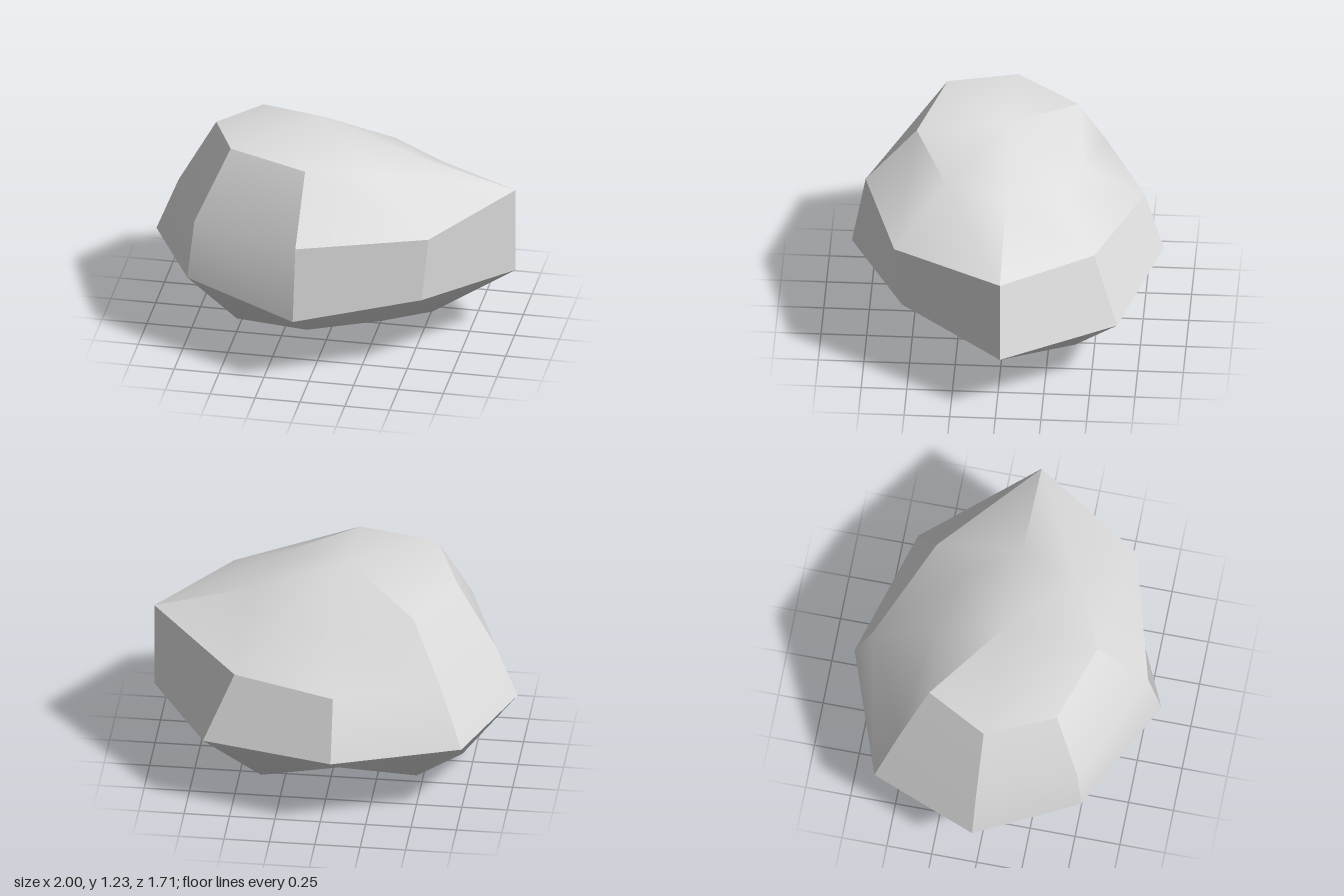
import * as THREE from 'three';

// Rings from top to bottom: radii around the boulder (starting at -x, going by the front),
// with height = base + slope * radius so each corner moves outward along its own slant.
const RINGS = [
  { base: 1.23, slope: 0, radii: [0, 0, 0, 0, 0, 0, 0, 0] },
  { base: 0.245, slope: 1.75, radii: [0.51, 0.535, 0.52, 0.475, 0.45, 0.42, 0.40, 0.483] },
  { base: 0.38, slope: 0.55, radii: [0.69, 0.745, 0.80, 0.85, 0.915, 0.69, 0.73, 0.68] },
  { base: 0.848, slope: -0.5, radii: [0.795, 0.785, 0.875, 0.795, 0.915, 0.88, 0.835, 0.835] },
  { base: 1.024, slope: -1.8, radii: [0.535, 0.50, 0.48, 0.47, 0.52, 0.53, 0.46, 0.505] },
  { base: 0, slope: 0, radii: [0, 0, 0, 0, 0, 0, 0, 0] },
];
const SIDES = 8;
const LAST = RINGS.length - 1;
const CENTRE = { x: -0.07, z: -0.025 };
const STRETCH_X = 1.17;
const CREASE = THREE.MathUtils.degToRad(30);

const wrap = (col) => (col + SIDES) % SIDES;

function corner(row, col) {
  const { base, slope, radii } = RINGS[row];
  const radius = radii[wrap(col)];
  const angle = (wrap(col) / SIDES) * Math.PI * 2;
  return new THREE.Vector3(
    CENTRE.x - Math.cos(angle) * radius * STRETCH_X,
    base + slope * radius,
    CENTRE.z + Math.sin(angle) * radius,
  );
}

// One normal per facet, taken from its two diagonals
function facetNormal(row, col) {
  const down = corner(row + 1, col + 1).sub(corner(row, col));
  const up = corner(row, col + 1).sub(corner(row + 1, col));
  return down.cross(up).normalize();
}

// Facets around a corner, in cyclic order
function facetsAround(row, col) {
  if (row === 0 || row === LAST) {
    const facetRow = row === 0 ? 0 : LAST - 1;
    return Array.from({ length: SIDES }, (_, i) => [facetRow, i]);
  }
  return [[row - 1, wrap(col - 1)], [row - 1, wrap(col)], [row, wrap(col)], [row, wrap(col - 1)]];
}

// Blend a facet's normal with its neighbours until a sharp edge is met on either side
function cornerNormal(row, col, facetRow, facetCol) {
  const facets = facetsAround(row, col);
  const normals = facets.map(([r, c]) => facetNormal(r, c));
  const start = facets.findIndex(([r, c]) => r === facetRow && c === facetCol);
  const count = facets.length;
  const blended = new Set([start]);
  for (const step of [1, count - 1]) {
    let here = start;
    for (let i = 1; i < count; i++) {
      const next = (here + step) % count;
      if (normals[here].angleTo(normals[next]) > CREASE) break;
      blended.add(next);
      here = next;
    }
  }
  const sum = new THREE.Vector3();
  blended.forEach((i) => sum.add(normals[i]));
  return sum.normalize();
}

function boulderGeometry() {
  const positions = [];
  const normals = [];
  for (let row = 0; row < LAST; row++) {
    for (let col = 0; col < SIDES; col++) {
      // Each facet is two triangles, or one where it meets a pole
      const corners = [];
      if (row < LAST - 1) corners.push([row, col], [row + 1, col], [row + 1, col + 1]);
      if (row > 0) corners.push([row, col], [row + 1, col + 1], [row, col + 1]);
      for (const [r, c] of corners) {
        positions.push(...corner(r, c).toArray());
        normals.push(...cornerNormal(r, c, row, col).toArray());
      }
    }
  }
  const geometry = new THREE.BufferGeometry();
  geometry.setAttribute('position', new THREE.Float32BufferAttribute(positions, 3));
  geometry.setAttribute('normal', new THREE.Float32BufferAttribute(normals, 3));
  return geometry;
}

export function createModel() {
  const stone = new THREE.MeshStandardMaterial({ color: 0xdddddd });
  stone.name = 'pale stone grey';

  const boulder = new THREE.Mesh(boulderGeometry(), stone);
  boulder.name = 'boulder';

  const model = new THREE.Group();
  model.name = 'rock';
  model.add(boulder);
  return model;
}
